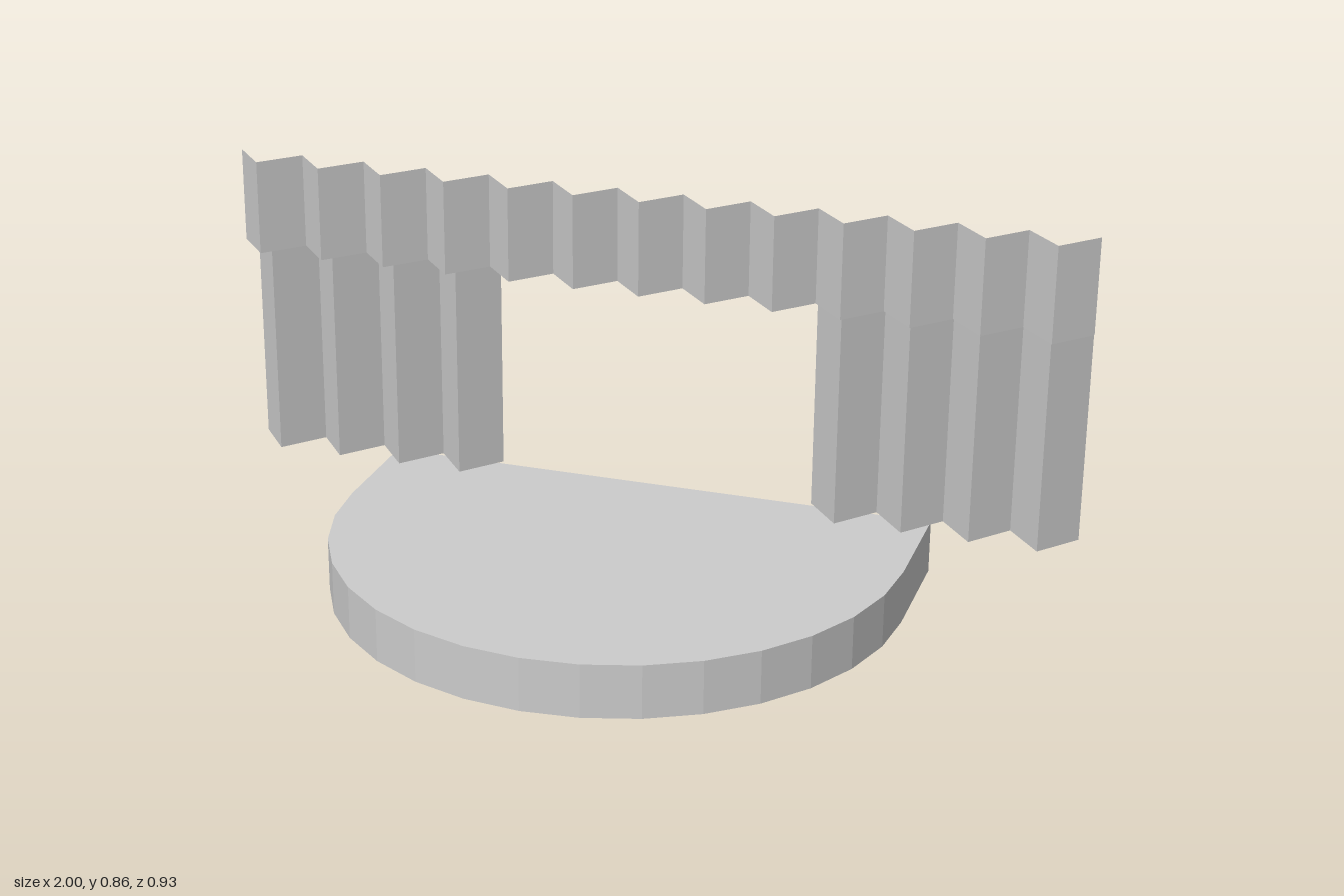
import * as THREE from 'three';

const PLEAT = 0.0769;

// Zigzag cloth: starts and ends on its rear edge, folding forward on every other crease
function pleatedCloth(name, x0, width, folds, y0, y1, zBack, zFront) {
  const geometry = new THREE.PlaneGeometry(width, y1 - y0, folds, 1);
  geometry.translate(x0 + width / 2, (y0 + y1) / 2, 0);
  const pos = geometry.attributes.position;
  for (let i = 0; i < pos.count; i++) {
    const column = i % (folds + 1);
    pos.setZ(i, column % 2 ? zFront : zBack);
  }
  const flat = geometry.toNonIndexed();
  flat.computeVertexNormals();
  const mesh = new THREE.Mesh(flat, new THREE.MeshStandardMaterial({
    color: 0xcccccc, flatShading: true, side: THREE.DoubleSide,
  }));
  mesh.name = name;
  return mesh;
}

// Platform with a straight back and a half-round front
function stagePlatform() {
  const r = 0.655, centreZ = -0.19, backZ = -0.467, steps = 16;
  const points = [new THREE.Vector2(-r, -backZ)];
  for (let i = 0; i <= steps; i++) {
    const a = Math.PI + (i / steps) * Math.PI;
    points.push(new THREE.Vector2(r * Math.cos(a), r * Math.sin(a) - centreZ));
  }
  points.push(new THREE.Vector2(r, -backZ));
  const geometry = new THREE.ExtrudeGeometry(new THREE.Shape(points), { depth: 0.123, bevelEnabled: false });
  geometry.rotateX(-Math.PI / 2);
  const mesh = new THREE.Mesh(geometry, new THREE.MeshStandardMaterial({ color: 0xcccccc, flatShading: true }));
  mesh.name = 'stagePlatform';
  return mesh;
}

export function createModel() {
  const group = new THREE.Group();
  group.name = 'theatreStage';
  group.add(stagePlatform());

  // Side curtains hang just above the platform, behind the valance
  group.add(pleatedCloth('rightCurtain', -0.995, PLEAT * 8, 8, 0.132, 0.74, -0.46, -0.368));
  group.add(pleatedCloth('leftCurtain', 0.376, PLEAT * 8, 8, 0.132, 0.74, -0.46, -0.368));

  // Valance across the full width
  group.add(pleatedCloth('valance', -1, 2, 26, 0.641, 0.861, -0.403, -0.318));
  return group;
}
